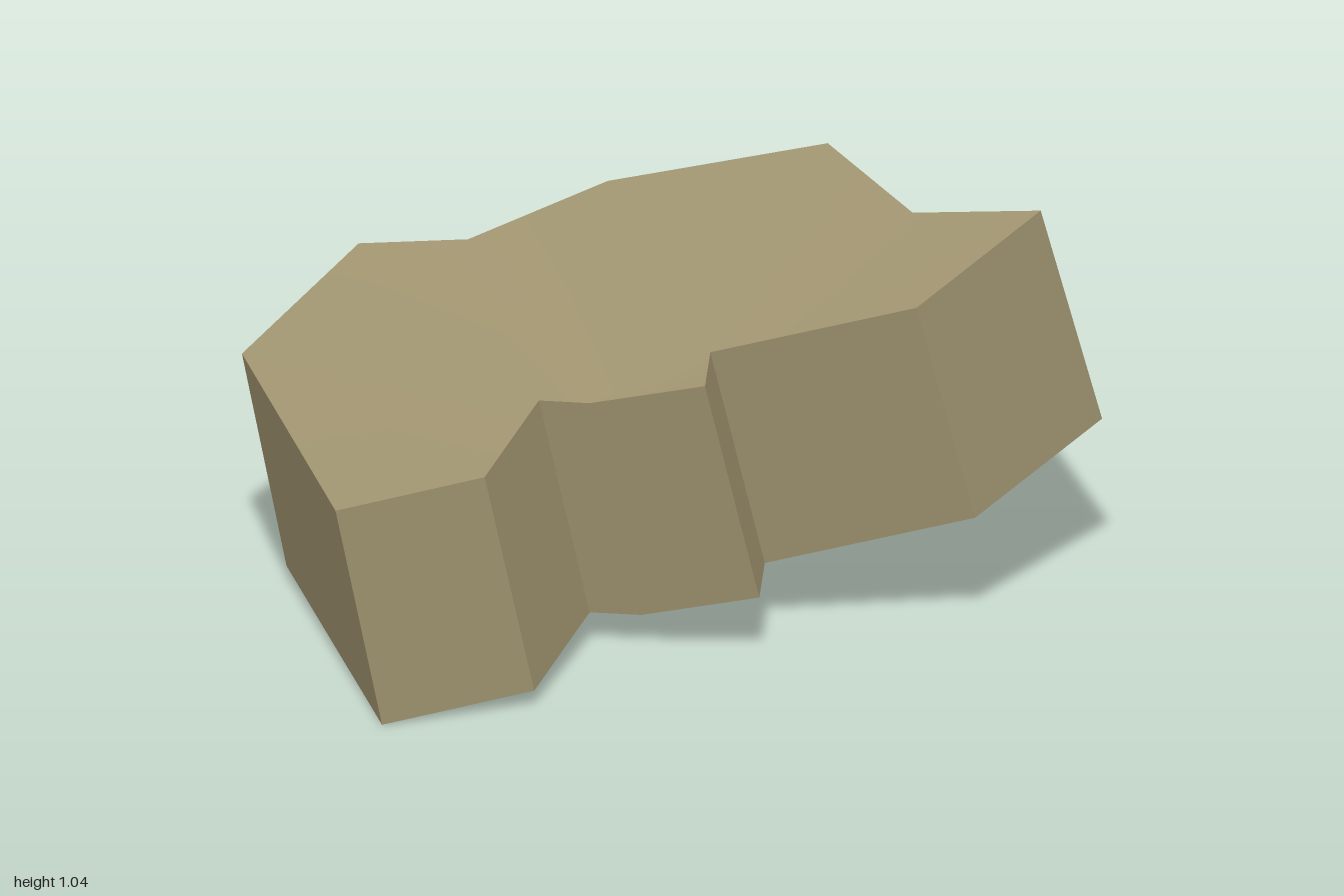
import * as THREE from 'three';

// Top rim corners [x, y, z], clockwise seen from above
const RIM = [
  [-1.0, 0.638, -0.04], [-0.945, 0.65, -0.14], [-0.757, 0.755, -0.408], [-0.5, 0.78, -0.4],
  [-0.187, 0.86, -0.573], [0.333, 1.003, -0.525], [0.557, 0.977, -0.227], [0.865, 1.04, -0.135],
  [0.6, 0.93, 0.18], [0.115, 0.785, 0.16], [0.115, 0.77, 0.31], [-0.16, 0.69, 0.26],
  [-0.28, 0.685, 0.245], [-0.38, 0.64, 0.57], [-0.72, 0.595, 0.685],
];

// Gentle folds across the slab, as triangles between rim corners
const FACETS = [
  [13, 14, 0], [12, 13, 0], [0, 3, 12], [0, 2, 3], [0, 1, 2], [3, 11, 12], [3, 9, 11],
  [9, 10, 11], [3, 4, 9], [4, 5, 9], [5, 6, 9], [6, 8, 9], [6, 7, 8],
];

// The slab leans: each base corner is shifted sideways and back
const toBase = ([x, y, z]) => [1.021 * x + 0.117, Math.max(0, y - 0.592 + 0.006 * x), 1.022 * z - 0.101];

function build(positions, index) {
  const g = new THREE.BufferGeometry();
  g.setAttribute('position', new THREE.Float32BufferAttribute(positions.flat(), 3));
  if (index) g.setIndex(index);
  g.computeVertexNormals();
  return g;
}

// Softly shaded cap, facing up or down
const cap = (points, up) => build(points, FACETS.flatMap(([a, b, c]) => (up ? [a, c, b] : [a, b, c])));

// One flat quad per side of the outline
function walls(top, base) {
  const p = [];
  top.forEach((t, i) => {
    const j = (i + 1) % top.length;
    p.push(t, top[j], base[j], t, base[j], base[i]);
  });
  return build(p.flat());
}

export function createModel() {
  const sand = new THREE.MeshStandardMaterial({ color: 0xa09470 });
  sand.name = 'sand';
  const navy = new THREE.MeshStandardMaterial({ color: 0x033558 });
  navy.name = 'navy';

  const base = RIM.map(toBase);
  const model = new THREE.Group();
  model.name = 'terrainSlab';
  const add = (name, geometry, material) => {
    const mesh = new THREE.Mesh(geometry, material);
    mesh.name = name;
    model.add(mesh);
  };
  add('topSurface', cap(RIM, true), sand);
  add('sideWalls', walls(RIM, base), sand);
  add('underside', cap(base, false), navy);
  return model;
}
